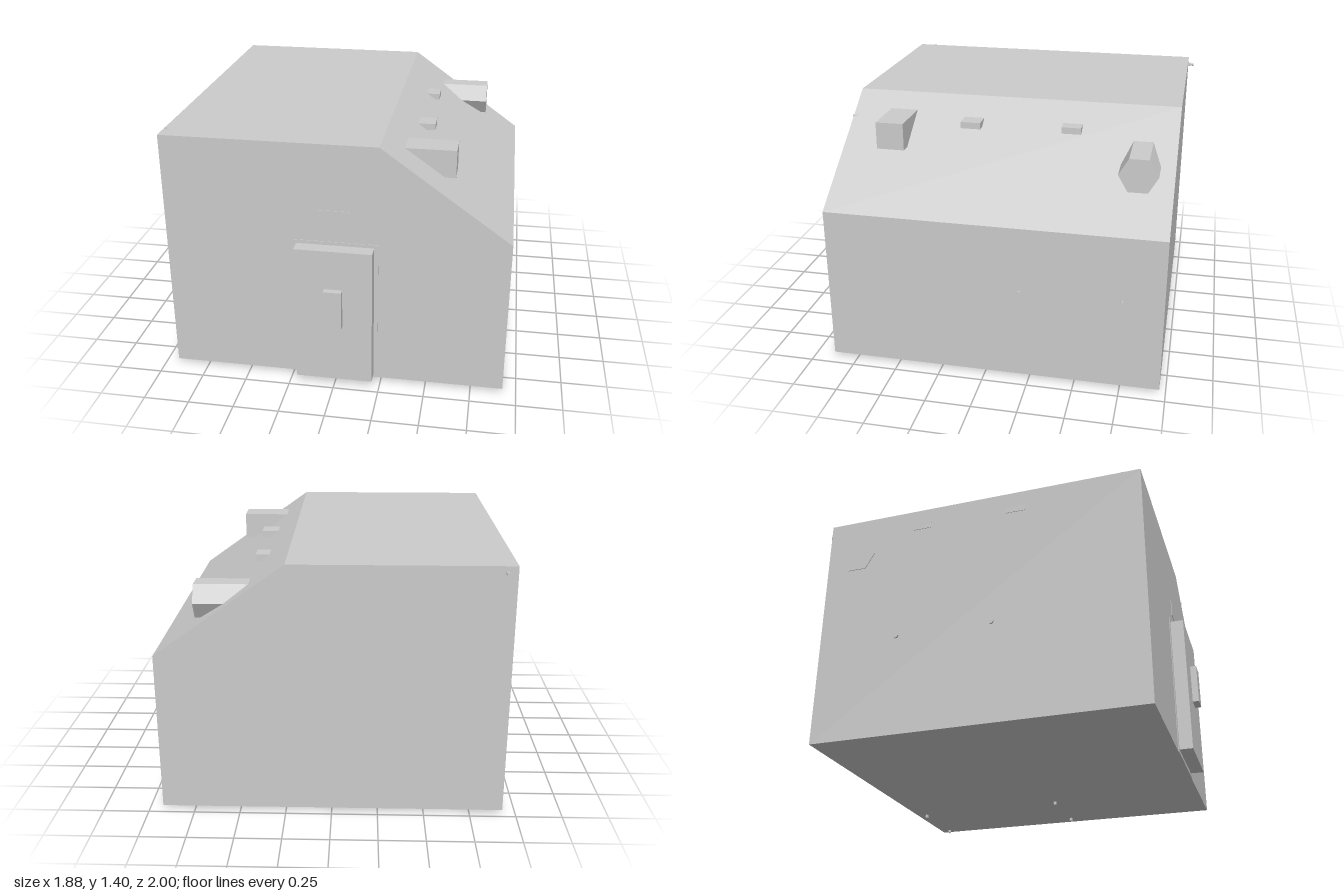
import * as THREE from 'three';

export function createModel() {
  const model = new THREE.Group();
  const material = new THREE.MeshStandardMaterial({ color: 0xcccccc, flatShading: true });

  const add = (name, geometry) => {
    const mesh = new THREE.Mesh(geometry, material);
    mesh.name = name;
    model.add(mesh);
    return mesh;
  };
  // Box given by its minimum and maximum on each axis
  const box = (name, [x0, x1], [y0, y1], [z0, z1]) =>
    add(name, new THREE.BoxGeometry(x1 - x0, y1 - y0, z1 - z0))
      .position.set((x0 + x1) / 2, (y0 + y1) / 2, (z0 + z1) / 2);
  // Prism between two points
  const rod = (name, from, to, radius, sides) => {
    const a = new THREE.Vector3(...from), b = new THREE.Vector3(...to);
    const mesh = add(name, new THREE.CylinderGeometry(radius, radius, a.distanceTo(b), sides));
    mesh.position.copy(a).lerp(b, 0.5);
    mesh.quaternion.setFromUnitVectors(new THREE.Vector3(0, 1, 0), b.sub(a).normalize());
    return mesh;
  };

  // Main body: square block with one sloped upper side
  const front = 0.888, back = -0.966;
  const profile = new THREE.Shape([
    [-0.93, 0.02], [0.926, 0.02], [0.926, 0.9], [0.232, 1.396], [-0.93, 1.396],
  ].map(([x, y]) => new THREE.Vector2(x, y)));
  add('body', new THREE.ExtrudeGeometry(profile, { depth: front - back, bevelEnabled: false }))
    .position.z = back;

  // Door, its thin frame, the raised plate and the sign panel above
  box('doorFrame', [-0.235, 0.232], [0.02, 0.85], [0.8, front + 0.003]);
  box('door', [-0.21, 0.21], [0.04, 0.83], [0.8, 0.965]);
  box('doorPlate', [-0.047, 0.05], [0.382, 0.605], [0.9, 1.0]);
  box('signPanel', [-0.105, 0.082], [0.93, 1.03], [0.8, front + 0.003]);

  // Bars running through the body and out of the sloped side
  box('squareBeam', [-0.9, 0.61], [1.168, 1.32], [0.52, 0.676]);
  box('smallBeamFront', [-0.933, 0.46], [1.268, 1.304], [0.122, 0.234]);
  box('smallBeamBack', [-0.933, 0.438], [1.268, 1.304], [-0.438, -0.33]);
  rod('hexagonalBeam', [-0.934, 1.16, -0.78], [0.72, 1.16, -0.78], 0.106, 6);

  // Small pegs on the side walls
  for (const z of [-0.195, -0.745]) rod('rightPeg', [0.9, 0.525, z], [0.936, 0.525, z], 0.014, 6);
  for (const z of [0.05, -0.5]) rod('leftPeg', [-0.9, 0.595, z], [-0.94, 0.595, z], 0.014, 6);

  // Small pegs on the back, front and roof
  rod('backPeg', [-0.875, 1.362, -0.94], [-0.875, 1.362, -1], 0.01, 6);
  rod('frontPeg', [0.388, 1.278, 0.86], [0.388, 1.278, 0.893], 0.008, 6);
  rod('roofPeg', [-0.921, 1.38, 0.785], [-0.921, 1.4, 0.785], 0.008, 6);

  // Feet under the floor
  for (const [x, z] of [[0.877, -0.905], [0.482, -0.905], [0.84, -0.01], [0.452, -0.01]])
    rod('foot', [x, 0, z], [x, 0.04, z], 0.01, 6);

  return model;
}
